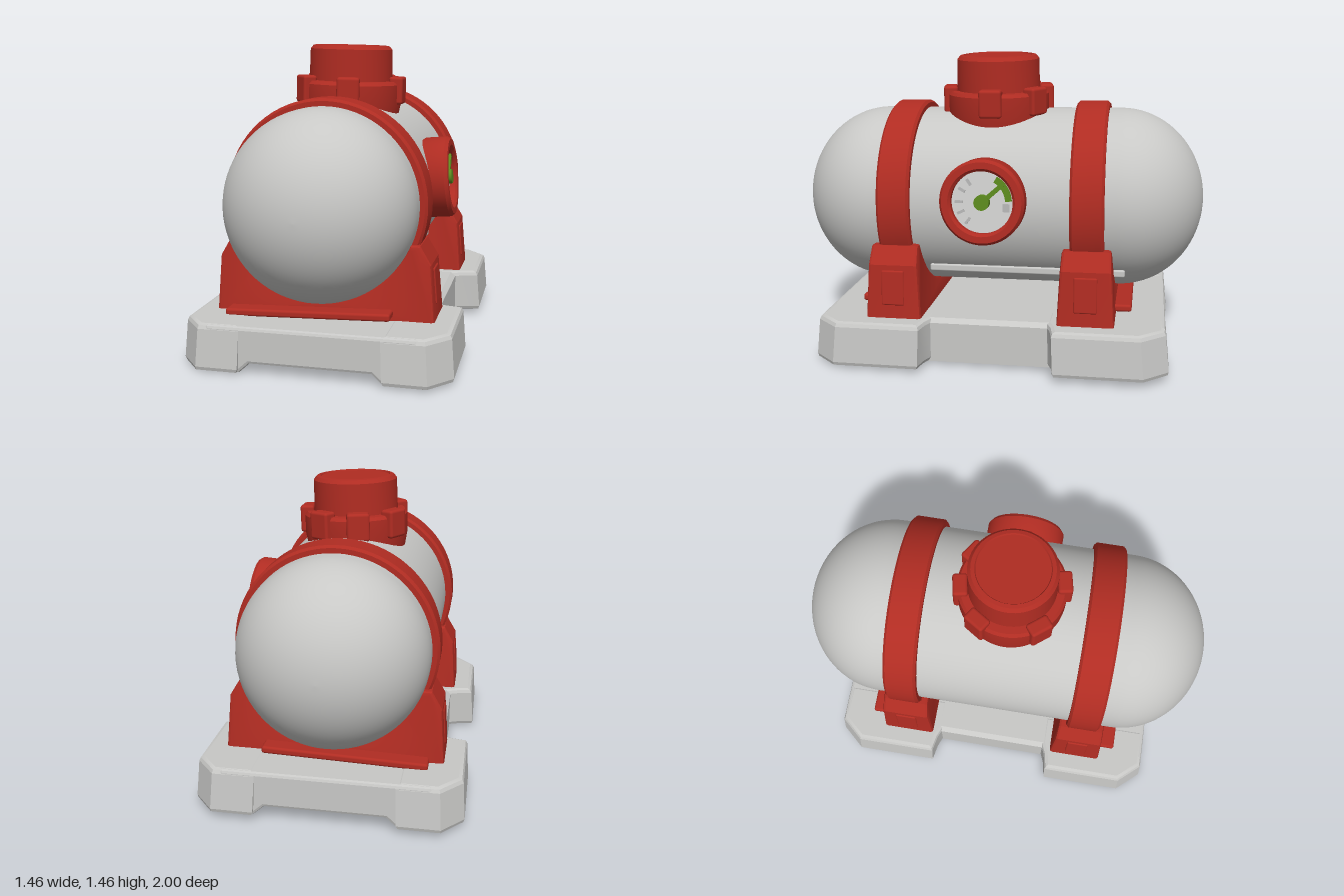
import * as THREE from 'three';
import { toCreasedNormals } from 'three/addons/utils/BufferGeometryUtils.js';
import { RoundedBoxGeometry } from 'three/addons/geometries/RoundedBoxGeometry.js';

const mat = (name, color) => new THREE.MeshStandardMaterial({ name, color });
const V = (x, y) => new THREE.Vector2(x, y);

function add(parent, name, geometry, material, x = 0, y = 0, z = 0) {
  const m = new THREE.Mesh(geometry, material);
  m.name = name;
  m.position.set(x, y, z);
  parent.add(m);
  return m;
}

function extrude(shape, depth, bevel) {
  return new THREE.ExtrudeGeometry(shape, {
    depth: depth - 2 * bevel, bevelEnabled: true, bevelSize: bevel,
    bevelThickness: bevel, bevelOffset: -bevel, bevelSegments: 2, curveSegments: 32,
  }).translate(0, 0, bevel);
}

const lathe = (pts, segs = 64) =>
  toCreasedNormals(new THREE.LatheGeometry(pts.map(([r, y]) => V(r, y)), segs), 0.6);

export function createModel() {
  const grey = mat('light grey', 0xc8c8c6);
  const red = mat('red', 0xb02c22);
  const green = mat('green', 0x5c8a1e);
  const white = mat('dial white', 0xd4d4d2);
  const tickGrey = mat('tick grey', 0xb4b4b4);

  const root = new THREE.Group();
  root.name = 'storageTank';
  const body = new THREE.Group();
  body.name = 'tankOnBase';
  body.rotation.set(0.013, -0.15, 0.008);
  body.position.y = 0.016;
  root.add(body);

  const cy = 0.735, R = 0.443;

  // Tank: straight barrel with slightly flattened domes
  const profile = [];
  const straight = 0.595, dome = 0.41;
  for (let i = 0; i <= 20; i++) {
    const a = -Math.PI / 2 + (i / 20) * Math.PI / 2;
    profile.push(V(Math.max(0, R * Math.cos(a)), -straight + dome * Math.sin(a)));
  }
  for (let i = 0; i <= 20; i++) {
    const a = (i / 20) * Math.PI / 2;
    profile.push(V(Math.max(0, R * Math.cos(a)), straight + dome * Math.sin(a)));
  }
  add(body, 'tank', new THREE.LatheGeometry(profile, 72).rotateX(Math.PI / 2), grey, 0, cy, 0);

  // Base slab with a shallow channel along the underside
  const slab = new THREE.Shape([
    [-0.5, 0], [-0.33, 0], [-0.28, 0.045], [0.28, 0.045], [0.33, 0], [0.5, 0],
    [0.5, 0.195], [0.475, 0.215], [-0.475, 0.215], [-0.5, 0.195],
  ].map(([x, y]) => V(x, y)));
  add(body, 'baseSlab', extrude(slab, 1.66, 0.015), grey, 0, 0, -0.83);

  // Corner feet, chamfered in plan and drawn in towards the top
  for (const sx of [-1, 1]) for (const sz of [-1, 1]) {
    const plan = new THREE.Shape([
      [0.33, 0.28], [0.49, 0.28], [0.55, 0.305], [0.63, 0.32],
      [0.63, 0.735], [0.53, 0.85], [0.33, 0.85],
    ].map(([x, z]) => V(x * sx, z * sz)));
    const g = extrude(plan, 0.217, 0.022).rotateX(Math.PI / 2);
    const p = g.attributes.position;
    for (let i = 0; i < p.count; i++) {
      const k = 1 - 0.025 * (p.getY(i) + 0.217) / 0.217;
      p.setX(i, p.getX(i) * k);
      p.setZ(i, p.getZ(i) * k);
    }
    add(body, 'baseFoot', toCreasedNormals(g, 0.35), grey, 0, 0.217, 0);
  }

  // Saddles and straps
  const cradle = new THREE.Shape();
  const a0 = -0.409;
  cradle.moveTo(-0.52, 0.2);
  cradle.lineTo(0.52, 0.2);
  cradle.lineTo(0.5, 0.475);
  cradle.lineTo(0.45, 0.56);
  cradle.absarc(0, cy, 0.44, a0, -Math.PI - a0, true);
  cradle.lineTo(-0.45, 0.56);
  cradle.lineTo(-0.5, 0.475);
  cradle.closePath();
  for (const s of [-1, 1]) {
    const saddle = new THREE.Group();
    saddle.name = s > 0 ? 'frontSaddle' : 'rearSaddle';
    saddle.position.z = 0.46 * s;
    body.add(saddle);

    const g = extrude(cradle, 0.27, 0.015).translate(0, 0, -0.135);
    const p = g.attributes.position;
    for (let i = 0; i < p.count; i++) p.setZ(i, p.getZ(i) * (1 - 0.4 * (p.getY(i) - 0.2)));
    add(saddle, 'cradle', toCreasedNormals(g, 0.4), red);

    for (const sx of [-1, 1]) {
      const panel = add(saddle, 'cradlePanel', new RoundedBoxGeometry(0.02, 0.17, 0.11, 2, 0.008), red, 0.504 * sx, 0.365, 0);
      panel.rotation.z = 0.07 * sx;
    }
    // Low plate lying along the outer side of the saddle
    const plate = add(saddle, 'footPlate', new RoundedBoxGeometry(0.78, 0.035, 0.09, 2, 0.012), red, -0.06, 0.238, 0.165 * s);
    plate.rotation.z = 0.03;

    // Strap around the barrel
    const w = 0.08, o = 0.478, i = 0.435;
    add(saddle, 'strap', lathe([
      [i, -w], [o - 0.012, -w], [o, -w + 0.012], [o, w - 0.012], [o - 0.012, w], [i, w], [i, -w],
    ], 72).rotateX(Math.PI / 2), red, 0, cy, 0);
  }

  // Slim rail along the barrel's underside
  add(body, 'underRail', new RoundedBoxGeometry(0.035, 0.035, 0.95, 2, 0.008), grey, 0.325, 0.425, -0.16);

  // Filler cap with gripping lugs
  const cap = new THREE.Group();
  cap.name = 'fillerCap';
  cap.position.set(-0.005, 1.12, 0.02);
  cap.rotation.z = -0.035;
  body.add(cap);
  add(cap, 'capLid', lathe([
    [0.24, -0.04], [0.255, 0.04], [0.255, 0.135], [0.243, 0.15], [0.208, 0.152],
    [0.205, 0.305], [0.19, 0.322], [0.172, 0.325], [0.168, 0.318], [0, 0.318],
  ]), red);
  for (const deg of [0, 79, 141, 213, 259, 303]) {
    const lug = new THREE.Group();
    lug.name = 'capLug';
    lug.rotation.y = -THREE.MathUtils.degToRad(deg);
    cap.add(lug);
    add(lug, 'lugBlock', new RoundedBoxGeometry(0.07, 0.135, 0.11, 2, 0.014), red, 0.24, 0.108, 0);
  }

  // Pressure gauge on the left flank, dial facing outwards
  const mount = new THREE.Group();
  mount.name = 'gaugeMount';
  mount.position.set(0.4, 0.785, 0.02);
  mount.rotation.z = 0.08;
  body.add(mount);
  const gauge = new THREE.Group();
  gauge.name = 'pressureGauge';
  gauge.rotation.y = Math.PI / 2;
  mount.add(gauge);
  add(gauge, 'gaugeHousing', lathe([
    [0.185, -0.03], [0.2, 0], [0.2, 0.105], [0.188, 0.122], [0.158, 0.122], [0.146, 0.11], [0.146, 0.06],
  ]).rotateX(Math.PI / 2), red);
  add(gauge, 'dial', new THREE.CircleGeometry(0.15, 48), white, 0, 0, 0.082);

  for (const deg of [125, 150, 180, 205, 232]) {
    const a = THREE.MathUtils.degToRad(deg);
    const t = add(gauge, 'dialTick', new THREE.BoxGeometry(0.035, 0.012, 0.012), tickGrey,
      0.112 * Math.cos(a), 0.112 * Math.sin(a), 0.086);
    t.rotation.z = a;
  }
  add(gauge, 'dialStop', new THREE.BoxGeometry(0.032, 0.036, 0.014), tickGrey, 0.112, -0.025, 0.087);

  // Green band, needle and hub
  const band = new THREE.Shape();
  band.absarc(0, 0, 0.138, 0.05, 1.05, false);
  band.absarc(0, 0, 0.108, 1.05, 0.05, true);
  add(gauge, 'dialBand', new THREE.ExtrudeGeometry(band, { depth: 0.012, bevelEnabled: false }), green, 0, 0, 0.082);
  const needle = add(gauge, 'needle', new THREE.BoxGeometry(0.17, 0.022, 0.012), green, 0.042, 0.037, 0.1);
  needle.rotation.z = 0.72;
  add(gauge, 'needleHub', new THREE.CylinderGeometry(0.036, 0.036, 0.036, 24).rotateX(Math.PI / 2), green, 0, 0, 0.1);

  return root;
}
